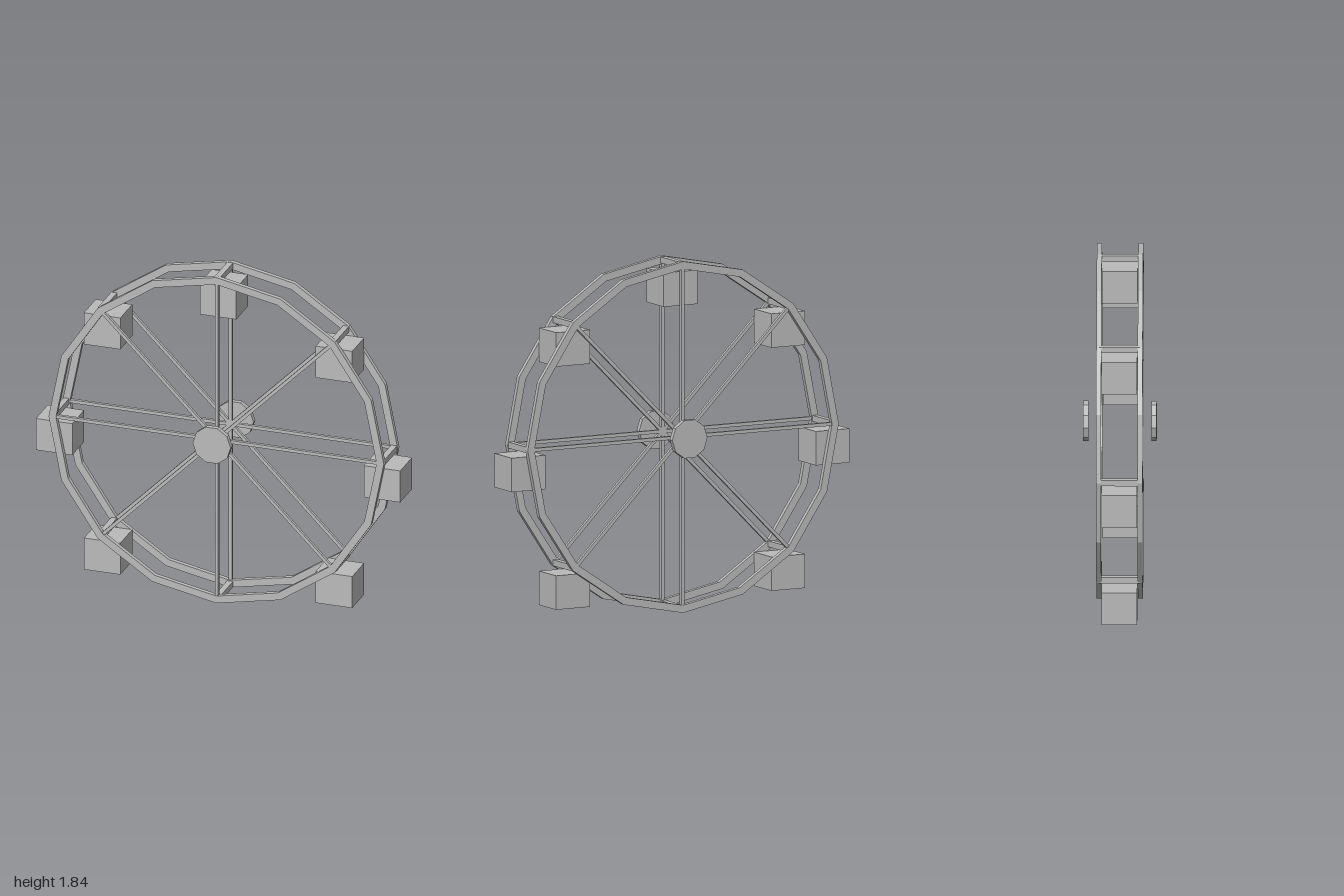
import * as THREE from 'three';

const CENTER_Y = 0.92;   // wheel axis height
const PIVOT_R = 0.9;     // radius of crossbars and cabin pivots
const RING_Z = 0.107;    // distance of each rim from the middle

// Regular polygon outline with a corner pointing straight up
function polygon(path, radius, sides) {
  const points = [];
  for (let i = 0; i < sides; i++) {
    const a = Math.PI / 2 + (i / sides) * Math.PI * 2;
    points.push(new THREE.Vector2(Math.cos(a) * radius, Math.sin(a) * radius));
  }
  path.setFromPoints(points);
  path.closePath();
  return path;
}

export function createModel() {
  const model = new THREE.Group();
  model.name = 'ferrisWheel';
  const grey = new THREE.MeshStandardMaterial({ color: 0xbababa });
  grey.name = 'grey';

  const wheel = new THREE.Group();
  wheel.name = 'wheel';
  wheel.position.y = CENTER_Y;
  model.add(wheel);

  const add = (name, geometry, x = 0, y = 0, z = 0) => {
    const mesh = new THREE.Mesh(geometry, grey);
    mesh.name = name;
    mesh.position.set(x, y, z);
    wheel.add(mesh);
    return mesh;
  };

  // Sixteen-sided rim
  const rimDepth = 0.026;
  const rimShape = polygon(new THREE.Shape(), 0.92, 16);
  rimShape.holes.push(polygon(new THREE.Path(), 0.88, 16));
  const rimGeo = new THREE.ExtrudeGeometry(rimShape, { depth: rimDepth, bevelEnabled: false });
  rimGeo.translate(0, 0, -rimDepth / 2);

  // Ten-sided hub plate with corners on the x axis
  const hubGeo = new THREE.CylinderGeometry(0.104, 0.104, 0.028, 10).toNonIndexed();
  hubGeo.computeVertexNormals();
  hubGeo.rotateY(Math.PI / 2);
  hubGeo.rotateX(Math.PI / 2);

  const spokeGeo = new THREE.BoxGeometry(PIVOT_R * 2, 0.018, 0.018);

  // Both sides of the wheel: rim, hub plate and four full-width spokes
  for (const side of [1, -1]) {
    const label = side > 0 ? 'front' : 'back';
    add(label + 'Rim', rimGeo, 0, 0, side * RING_Z);
    add(label + 'Hub', hubGeo, 0, 0, side * 0.176);
    for (let i = 0; i < 4; i++) {
      add(label + 'Spoke', spokeGeo, 0, 0, side * RING_Z).rotation.z = (i * Math.PI) / 4;
    }
  }

  // Crossbars join the rims; a cabin hangs from each one except the lowest
  const barGeo = new THREE.BoxGeometry(0.032, 0.032, RING_Z * 2);
  const cabinGeo = new THREE.BoxGeometry(0.2, 0.178, 0.184);
  for (let i = 0; i < 8; i++) {
    const a = (i * Math.PI) / 4;
    const x = Math.cos(a) * PIVOT_R;
    const y = Math.sin(a) * PIVOT_R;
    add('crossbar', barGeo, x, y);
    if (i !== 6) add('cabin', cabinGeo, x, y - 0.125);
  }

  return model;
}
